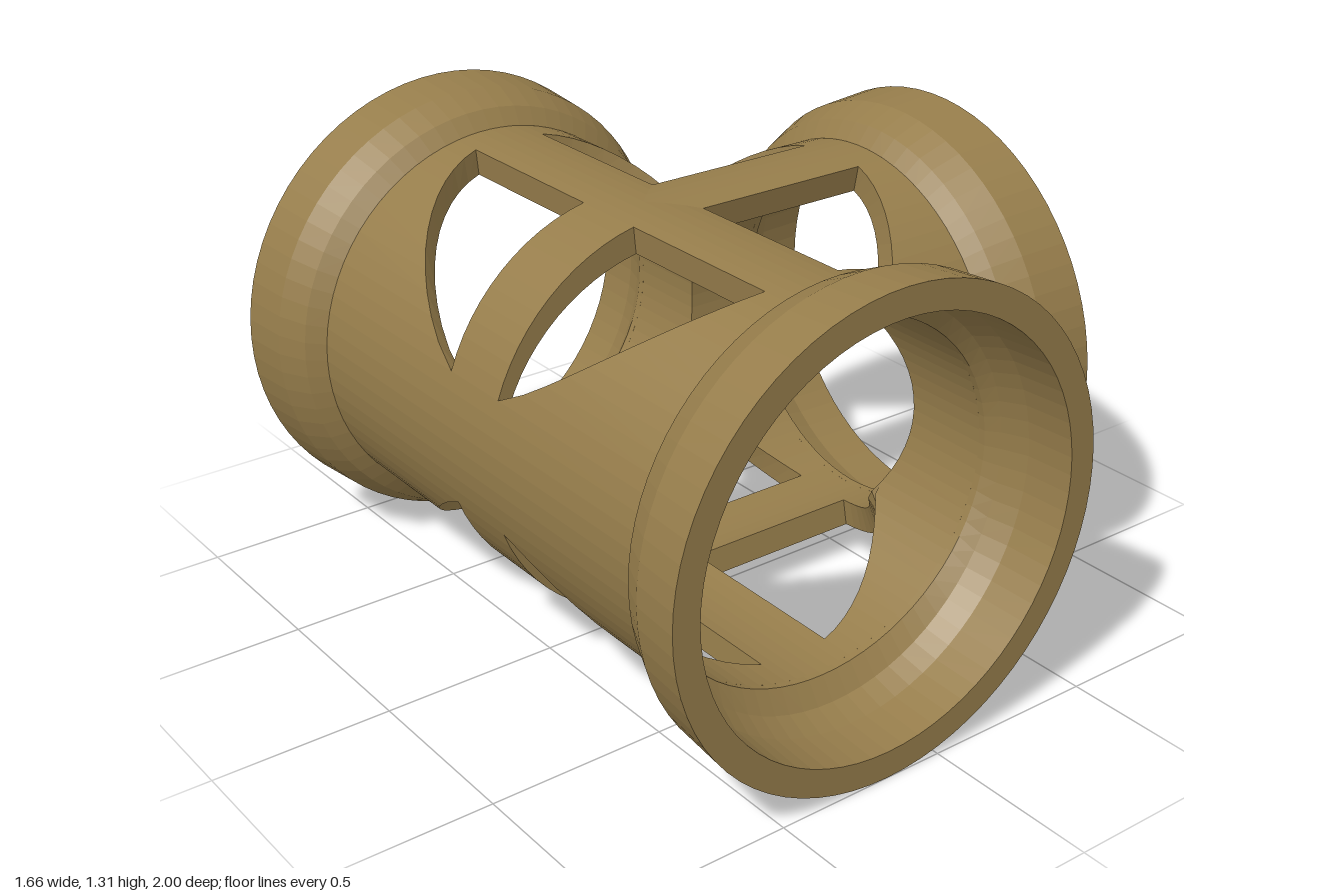
import * as THREE from 'three';

const R = 0.56;              // outer pipe radius
const BORE = 0.485;          // bore radius
const BORE_X = 0.525;        // main bore half-width along x
const BAR = 0.11;            // half-width of the cross bars
const NECK = 0.73;           // where the sockets begin
const WIN = 0.645;           // window radius
const WIN_LEFT = 0.535;      // window half-width on the closed side
const STEP = Math.PI / 36;

// Point on the main pipe (axis z) or the branch (axis x)
const mainPoint = (a, t, outer) => [(outer ? R : BORE_X) * Math.cos(a), (outer ? R : BORE) * Math.sin(a), t];
const branchPoint = (a, t, outer) => [t, (outer ? R : BORE) * Math.sin(a), (outer ? R : BORE) * Math.cos(a)];

// Thick curved panel between angles a0 and a1, running from lo to hi along the axis,
// repeated in all four mirrored quarters
function addPanel(out, point, flip, a0, a1, lo, hi) {
  const n = Math.max(1, Math.ceil((a1 - a0) / STEP));
  const sections = [];
  for (let i = 0; i <= n; i++) {
    const a = a0 + (a1 - a0) * i / n;
    sections.push([
      point(a, lo(a, true), true), point(a, hi(a), true),
      point(a, hi(a), false), point(a, lo(a, false), false)]);
  }
  const quads = [[...sections[0]], [...sections[n]].reverse()];
  for (let i = 0; i < n; i++) {
    for (let j = 0; j < 4; j++) {
      const k = (j + 1) % 4;
      quads.push([sections[i][j], sections[i + 1][j], sections[i + 1][k], sections[i][k]]);
    }
  }
  for (const sy of [1, -1]) for (const sz of [1, -1]) {
    const reverse = (sy * sz < 0) !== flip;
    for (const q of quads) {
      const p = q.map(([x, y, z]) => [x, y * sy, z * sz]);
      if (reverse) p.reverse();
      out.push(...p[0], ...p[1], ...p[2], ...p[0], ...p[2], ...p[3]);
    }
  }
}

function toGeometry(positions) {
  const g = new THREE.BufferGeometry();
  g.setAttribute('position', new THREE.Float32BufferAttribute(positions, 3));
  g.computeVertexNormals();
  return g;
}

// Flared socket ring along +y, hollow
function socketGeometry() {
  const profile = [
    [R, NECK], [0.608, 0.767], [0.645, 0.85], [0.657, 1],
    [0.58, 1], [0.572, 0.86], [0.545, 0.79], [BORE, 0.75], [BORE, NECK], [R, NECK],
  ].map(([r, y]) => new THREE.Vector2(r, y));
  return new THREE.LatheGeometry(profile, 72);
}

export function createModel() {
  const group = new THREE.Group();
  group.name = 'pipeTee';
  const bronze = new THREE.MeshStandardMaterial({ color: 0x967d4b, flatShading: true });
  bronze.name = 'bronze';
  const add = (name, geometry) => {
    const mesh = new THREE.Mesh(geometry, bronze);
    mesh.name = name;
    mesh.position.set(-0.17, 0.66, 0);
    group.add(mesh);
  };

  const barAngle = Math.acos(BAR / R);
  const crossAngle = Math.acos(WIN * Math.SQRT1_2 / R);
  const tipAngle = Math.acos(WIN_LEFT * Math.sqrt(1 - (BAR / WIN) ** 2) / R);
  const zero = () => 0, bar = () => BAR, neck = () => NECK;
  const leftWindow = (a) => WIN * Math.sqrt(Math.max(0, 1 - (R * Math.cos(a) / WIN_LEFT) ** 2));
  const rightWindow = (a) => Math.sqrt(WIN ** 2 - (R * Math.cos(a)) ** 2);
  // Mitre seams where main pipe and branch meet
  const mainSeam = (a, outer) => (outer ? R : BORE) * Math.cos(a);
  const branchSeam = (a, outer) => (outer ? R : BORE_X) * Math.cos(a);
  const past = (seam) => (a, outer) => Math.max(rightWindow(a), seam(a, outer));

  // Main pipe: closed side wall, bars and window surrounds, then the branch side
  const main = [];
  const mainPanel = (...args) => addPanel(main, mainPoint, false, ...args);
  mainPanel(Math.PI - tipAngle, Math.PI, zero, neck);
  mainPanel(Math.PI - barAngle, Math.PI - tipAngle, zero, bar);
  mainPanel(Math.PI - barAngle, Math.PI - tipAngle, leftWindow, neck);
  mainPanel(Math.PI / 2, Math.PI - barAngle, zero, neck);
  mainPanel(barAngle, Math.PI / 2, mainSeam, neck);
  mainPanel(crossAngle, barAngle, past(mainSeam), neck);
  mainPanel(0, crossAngle, past(mainSeam), neck);
  add('mainPipe', toGeometry(main));

  // Branch pipe with its bar
  const branch = [];
  const branchPanel = (...args) => addPanel(branch, branchPoint, true, ...args);
  branchPanel(barAngle, Math.PI / 2, branchSeam, neck);
  branchPanel(crossAngle, barAngle, past(branchSeam), neck);
  branchPanel(0, crossAngle, past(branchSeam), neck);
  add('branchPipe', toGeometry(branch));

  // Sockets; the main ones narrow to the wider oval bore
  for (const [name, side] of [['frontSocket', 1], ['backSocket', -1]]) {
    const g = socketGeometry().rotateX(side * Math.PI / 2);
    const p = g.attributes.position;
    for (let i = 0; i < p.count; i++) {
      if (Math.hypot(p.getX(i), p.getY(i)) < 0.5) p.setX(i, p.getX(i) * BORE_X / BORE);
    }
    g.computeVertexNormals();
    add(name, g);
  }
  add('branchSocket', socketGeometry().rotateZ(-Math.PI / 2));
  return group;
}
